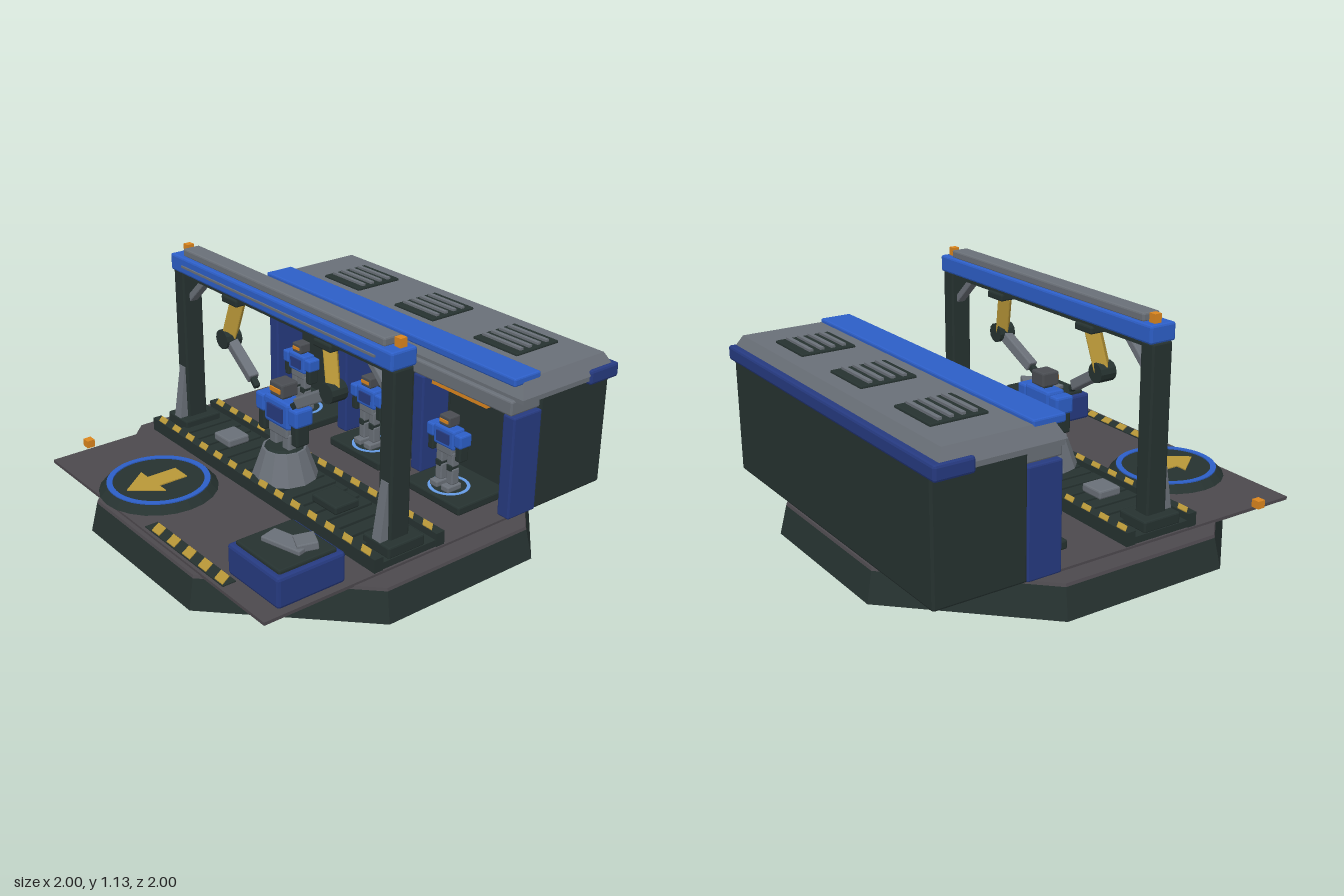
import * as THREE from 'three';
import { RoundedBoxGeometry } from 'three/addons/geometries/RoundedBoxGeometry.js';

const mat = (name, color) => Object.assign(new THREE.MeshStandardMaterial({ color }), { name });
const M = {
  dark: mat('dark green metal', 0x263230),
  grey: mat('steel grey', 0x6a7078),
  deck: mat('deck grey', 0x4d494e),
  blue: mat('bright blue', 0x2d5fc8),
  navy: mat('navy blue', 0x263a80),
  yellow: mat('safety yellow', 0xba9838),
  orange: mat('signal orange', 0xdc861e),
  light: mat('light blue', 0x659ce6),
  head: mat('head grey', 0x4a4d52),
};

// Faceted mesh with flat normals
function add(parent, name, geo, m, x = 0, y = 0, z = 0) {
  const g = geo.index ? geo.toNonIndexed() : geo;
  g.computeVertexNormals();
  const mesh = new THREE.Mesh(g, m);
  mesh.name = name;
  mesh.position.set(x, y, z);
  parent.add(mesh);
  return mesh;
}

// Box from its extents, with an optional chamfer
function box(parent, name, m, [x0, x1], [y0, y1], [z0, z1], r = 0) {
  const w = x1 - x0, h = y1 - y0, d = z1 - z0;
  const geo = r ? new RoundedBoxGeometry(w, h, d, 1, r) : new THREE.BoxGeometry(w, h, d);
  return add(parent, name, geo, m, (x0 + x1) / 2, (y0 + y1) / 2, (z0 + z1) / 2);
}

// Bar running between two points
function bar(parent, name, m, p, q, w, d) {
  const a = new THREE.Vector3(...p), b = new THREE.Vector3(...q);
  const dir = b.clone().sub(a), len = dir.length();
  const mesh = add(parent, name, new RoundedBoxGeometry(w, len, d, 1, 0.006), m);
  mesh.position.copy(a).add(b).multiplyScalar(0.5);
  mesh.quaternion.setFromUnitVectors(new THREE.Vector3(0, 1, 0), dir.normalize());
  return mesh;
}

// Box narrowed at the top
function taperBox(w, h, d, tw, td, shiftZ = 0) {
  const geo = new THREE.BoxGeometry(w, h, d), p = geo.attributes.position;
  for (let i = 0; i < p.count; i++) {
    if (p.getY(i) > 0) p.setXYZ(i, p.getX(i) * tw / w, h / 2, p.getZ(i) * td / d + shiftZ);
  }
  return geo;
}

// Thin flat plate lying on the floor from [x, z] points
function plate(parent, name, m, pts, y, h = 0.006) {
  const shape = new THREE.Shape(pts.map(([x, z]) => new THREE.Vector2(x, -z)));
  const geo = new THREE.ExtrudeGeometry(shape, { depth: h, bevelEnabled: false });
  return add(parent, name, geo.rotateX(-Math.PI / 2), m, 0, y, 0);
}

function ring(parent, name, m, r0, r1, x, y, z) {
  const shape = new THREE.Shape().absarc(0, 0, r1, 0, Math.PI * 2);
  shape.holes.push(new THREE.Path().absarc(0, 0, r0, 0, Math.PI * 2, true));
  const geo = new THREE.ExtrudeGeometry(shape, { depth: 0.006, bevelEnabled: false, curveSegments: 32 });
  add(parent, name, geo.rotateX(-Math.PI / 2), m, x, y, z);
}

// Dark strip with slanted yellow stripes
function hazard(parent, x0, x1, y0, y1, z0, z1) {
  box(parent, 'hazardStrip', M.dark, [x0, x1], [y0, y1], [z0, z1]);
  const a = z0 + 0.004, b = z1 - 0.004, slant = 0.035;
  for (let x = x0 + 0.015; x + 0.06 + slant < x1; x += 0.122) {
    plate(parent, 'hazardStripe', M.yellow, [[x, a], [x + 0.06, a], [x + 0.06 + slant, b], [x + slant, b]], y1, 0.004);
  }
}

// Small humanoid machine, feet at the origin
function robot(name) {
  const g = new THREE.Group();
  g.name = name;
  for (const s of [-1, 1]) {
    const X = (a, b) => s > 0 ? [a, b] : [-b, -a];
    box(g, 'foot', M.grey, X(0.012, 0.062), [0, 0.03], [-0.035, 0.05], 0.006);
    box(g, 'shin', M.grey, X(0.016, 0.056), [0.03, 0.11], [-0.022, 0.022], 0.006);
    box(g, 'knee', M.dark, X(0.02, 0.052), [0.1, 0.13], [-0.018, 0.028], 0.004);
    box(g, 'thigh', M.grey, X(0.016, 0.054), [0.12, 0.19], [-0.022, 0.022], 0.006);
    box(g, 'shoulder', M.blue, X(0.066, 0.112), [0.235, 0.297], [-0.035, 0.035], 0.008);
    box(g, 'forearm', M.dark, X(0.072, 0.106), [0.165, 0.24], [-0.024, 0.028], 0.006);
  }
  box(g, 'pelvis', M.grey, [-0.05, 0.05], [0.175, 0.215], [-0.028, 0.028], 0.006);
  box(g, 'torso', M.blue, [-0.066, 0.066], [0.21, 0.305], [-0.038, 0.034], 0.01);
  box(g, 'chestPlate', M.navy, [-0.04, 0.04], [0.232, 0.282], [0.034, 0.041]);
  box(g, 'neck', M.dark, [-0.02, 0.02], [0.3, 0.32], [-0.018, 0.018]);
  box(g, 'head', M.head, [-0.034, 0.034], [0.312, 0.362], [-0.034, 0.032], 0.006);
  box(g, 'visor', M.orange, [-0.026, 0.026], [0.33, 0.345], [0.032, 0.037]);
  return g;
}

function buildBase(g) {
  const oct = (rt, rb, h) => new THREE.CylinderGeometry(rt, rb, h, 8).rotateY(Math.PI / 8);
  add(g, 'foundation', oct(1.049, 1.082, 0.138), M.dark, 0, 0.069, 0);
  add(g, 'foundationTop', oct(1.045, 1.049, 0.014), M.deck, 0, 0.145, 0);
  box(g, 'deckPlate', M.deck, [-0.87, 0.87], [0.148, 0.163], [-0.5, 0.945]);
  hazard(g, -0.04, 0.565, 0.16, 0.168, 0.865, 0.93);
  box(g, 'cornerLight', M.orange, [-0.91, -0.868], [0.168, 0.205], [0.72, 0.76]);

  // Round landing marker with arrow
  add(g, 'markerDisc', new THREE.CylinderGeometry(0.245, 0.277, 0.035, 24), M.dark, -0.325, 0.18, 0.685);
  ring(g, 'markerRing', M.blue, 0.212, 0.239, -0.325, 0.197, 0.685);
  plate(g, 'markerArrow', M.yellow, [[-0.372, 0.565], [-0.27, 0.565], [-0.27, 0.715], [-0.212, 0.715],
    [-0.322, 0.855], [-0.432, 0.715], [-0.372, 0.715]], 0.197);

  // Scrap bin
  box(g, 'bin', M.navy, [0.49, 0.84], [0.163, 0.305], [0.515, 0.855], 0.014);
  box(g, 'binFill', M.dark, [0.515, 0.815], [0.29, 0.322], [0.54, 0.83], 0.008);
  const a = box(g, 'scrapPlate', M.grey, [0.57, 0.77], [0.322, 0.345], [0.64, 0.73], 0.005);
  a.rotation.y = 0.25;
  const b = box(g, 'scrapBlock', M.grey, [0.68, 0.78], [0.325, 0.36], [0.59, 0.68], 0.005);
  b.rotation.set(0.12, -0.45, 0.1);
}

function buildCabinet(g) {
  box(g, 'cabinetBody', M.dark, [-0.885, 0.885], [0.16, 0.725], [-0.97, -0.53], 0.01);
  box(g, 'header', M.grey, [-0.875, 0.875], [0.66, 0.73], [-0.54, -0.357], 0.008);
  box(g, 'roofSkirt', M.grey, [-0.92, 0.92], [0.725, 0.752], [-0.96, -0.38]);
  add(g, 'roof', taperBox(1.85, 0.073, 0.59, 1.77, 0.51), M.grey, 0, 0.787, -0.665);
  box(g, 'backTrim', M.navy, [-0.93, 0.93], [0.705, 0.775], [-0.98, -0.795], 0.012);
  box(g, 'fascia', M.blue, [-0.89, 0.89], [0.803, 0.842], [-0.51, -0.352], 0.008);
  for (const x of [-0.855, -0.28, 0.28, 0.855]) {
    box(g, 'pillar', M.navy, [x - 0.035, x + 0.035], [0.16, 0.655], [-0.535, -0.365], 0.008);
  }
  for (const x of [-0.547, 0, 0.547]) {
    // Roof vent
    box(g, 'vent', M.dark, [x - 0.138, x + 0.138], [0.815, 0.835], [-0.845, -0.575], 0.006);
    for (let i = 0; i < 4; i++) {
      const z = -0.79 + i * 0.055;
      box(g, 'ventSlat', M.grey, [x - 0.12, x + 0.12], [0.835, 0.846], [z - 0.01, z + 0.01]);
    }
    // Bay with light, pad and occupant
    box(g, 'bayPanel', M.dark, [x - 0.21, x + 0.21], [0.19, 0.63], [-0.535, -0.515], 0.006);
    box(g, 'bayLight', M.orange, [x - 0.175, x + 0.175], [0.643, 0.66], [-0.39, -0.363]);
    box(g, 'bayPad', M.dark, [x - 0.185, x + 0.185], [0.16, 0.203], [-0.52, -0.215], 0.008);
    ring(g, 'padRing', M.light, 0.082, 0.098, x, 0.2, -0.33);
    const r = robot('bayRobot');
    r.position.set(x, 0.205, -0.315);
    g.add(r);
  }
}

function buildConveyor(g) {
  box(g, 'conveyorBed', M.dark, [-0.86, 0.86], [0.16, 0.195], [0.0, 0.38]);
  hazard(g, -0.865, 0.865, 0.16, 0.227, -0.005, 0.042);
  hazard(g, -0.865, 0.865, 0.16, 0.227, 0.338, 0.385);
  for (let x = -0.68; x <= 0.69; x += 0.085) {
    box(g, 'beltSlat', M.dark, [x - 0.034, x + 0.034], [0.19, 0.21], [0.055, 0.325], 0.004);
  }
  box(g, 'greyPart', M.grey, [-0.5, -0.37], [0.21, 0.25], [0.14, 0.26], 0.008);
  box(g, 'darkPart', M.dark, [0.29, 0.46], [0.21, 0.25], [0.13, 0.265], 0.008);
  // Work stand and machine under assembly
  add(g, 'stand', new THREE.CylinderGeometry(0.105, 0.157, 0.145, 12), M.grey, 0, 0.283, 0.2);
  add(g, 'standTop', new THREE.CylinderGeometry(0.085, 0.095, 0.012, 12), M.dark, 0, 0.36, 0.2);
  const r = robot('assemblyRobot');
  r.scale.setScalar(1.4);
  r.position.set(0, 0.175, 0.2);
  g.add(r);
}

function buildGantry(g) {
  box(g, 'beam', M.blue, [-0.81, 0.81], [1.008, 1.09], [0.135, 0.27], 0.01);
  box(g, 'beamCap', M.grey, [-0.735, 0.735], [1.085, 1.125], [0.155, 0.245], 0.008);
  box(g, 'beamStripe', M.grey, [-0.71, 0.71], [1.043, 1.053], [0.27, 0.277]);
  box(g, 'underRail', M.dark, [-0.73, 0.73], [0.985, 1.012], [0.16, 0.245]);
  for (const s of [-1, 1]) {
    const x = s * 0.77;
    box(g, 'column', M.dark, [x - 0.04, x + 0.04], [0.2, 1.01], [0.15, 0.255], 0.008);
    box(g, 'columnBase', M.dark, [x - 0.085, x + 0.085], [0.19, 0.245], [0.1, 0.3], 0.008);
    add(g, 'columnGusset', taperBox(0.055, 0.27, 0.06, 0.045, 0.02, -0.02), M.grey, x, 0.375, 0.268);
    box(g, 'beacon', M.orange, [x - 0.018, x + 0.018], [1.085, 1.13], [0.172, 0.208]);
    bar(g, 'brace', M.grey, [s * 0.74, 0.865, 0.2], [s * 0.6, 0.995, 0.2], 0.035, 0.045);

    // Hanging assembly arm
    const elbow = [s * 0.392, 0.772, 0.225];
    box(g, 'armMount', M.dark, [s * 0.345 - 0.06, s * 0.345 + 0.06], [0.955, 0.99], [0.145, 0.255], 0.008);
    bar(g, 'upperArm', M.yellow, [s * 0.34, 0.965, 0.205], elbow, 0.068, 0.06);
    const hub = new THREE.CylinderGeometry(0.047, 0.047, 0.085, 12).rotateX(Math.PI / 2);
    add(g, 'elbow', hub, M.dark, ...elbow);
    bar(g, 'forearm', M.grey, elbow, [s * 0.17, 0.645, 0.245], 0.05, 0.05);
    bar(g, 'gripper', M.dark, [s * 0.18, 0.65, 0.245], [s * 0.135, 0.615, 0.25], 0.03, 0.03);
  }
}

export function createModel() {
  const model = new THREE.Group();
  model.name = 'assemblyStation';
  const parts = { base: buildBase, cabinet: buildCabinet, conveyor: buildConveyor, gantry: buildGantry };
  for (const [name, build] of Object.entries(parts)) {
    const g = new THREE.Group();
    g.name = name;
    build(g);
    model.add(g);
  }
  return model;
}
